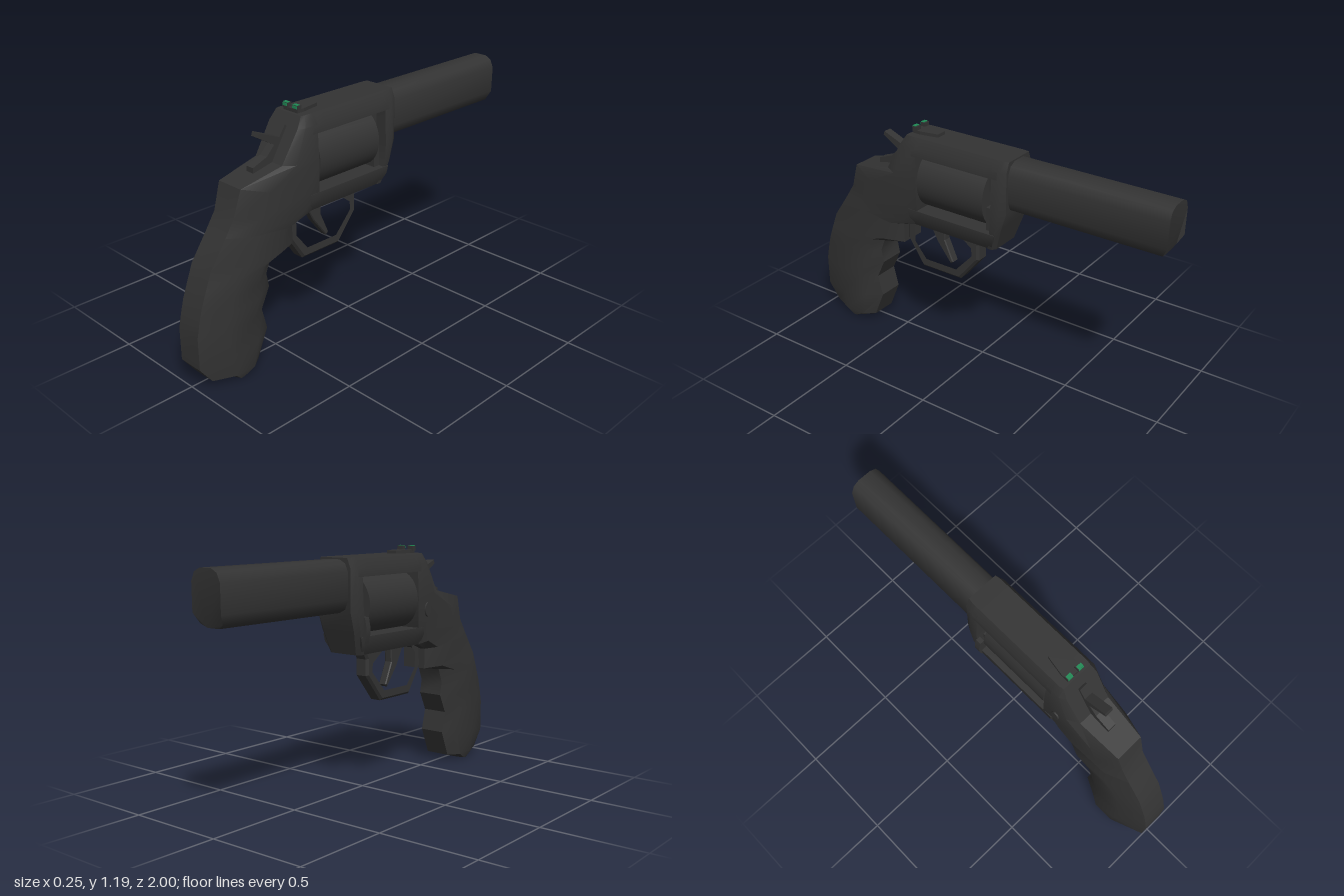
import * as THREE from 'three';
import { toCreasedNormals } from 'three/addons/utils/BufferGeometryUtils.js';

const gunmetal = new THREE.MeshStandardMaterial({ color: 0x333333 });
gunmetal.name = 'gunmetal';
const sightGreen = new THREE.MeshStandardMaterial({ color: 0x1f8a55 });
sightGreen.name = 'sight green';

// Loft of octagonal sections, listed from top to bottom.
// Each: [rear z, rear y, front z, front y, half width, rear edge ratio, front edge ratio]
function loft(sections, rearT = 0.15, frontT = 0.85) {
  const pos = [], index = [];
  for (const [rz, ry, fz, fy, w, re, fe] of sections) {
    const side = [[0, w * re], [rearT, w], [frontT, w], [1, w * fe]];
    const ring = [...side, ...side.slice().reverse().map(([t, x]) => [t, -x])];
    for (const [t, x] of ring) pos.push(x, ry + (fy - ry) * t, rz + (fz - rz) * t);
  }
  const last = (sections.length - 1) * 8;
  for (let s = 0; s < last; s += 8) {
    for (let j = 0; j < 8; j++) {
      const k = (j + 1) % 8;
      index.push(s + j, s + 8 + j, s + k, s + k, s + 8 + j, s + 8 + k);
    }
  }
  for (let j = 1; j < 7; j++) index.push(0, j, j + 1, last, last + j + 1, last + j);
  const g = new THREE.BufferGeometry();
  g.setAttribute('position', new THREE.Float32BufferAttribute(pos, 3));
  g.setIndex(index);
  return toCreasedNormals(g, 0.6);
}

const points = (list) => list.map(([a, b]) => new THREE.Vector2(a, b));

// Side profile in (z, y), given thickness across x
function plate(outline, width, bevel = 0, hole = null) {
  const shape = new THREE.Shape(points(outline));
  if (hole) shape.holes.push(new THREE.Path(points(hole)));
  const depth = width - 2 * bevel;
  const g = new THREE.ExtrudeGeometry(shape, {
    depth, bevelEnabled: bevel > 0, bevelSize: bevel, bevelThickness: bevel,
    bevelOffset: -bevel, bevelSegments: 1,
  });
  g.translate(0, 0, -depth / 2);
  g.rotateY(-Math.PI / 2);
  return g;
}

export function createModel() {
  const model = new THREE.Group();
  model.name = 'revolver';
  const add = (name, geometry, x = 0, y = 0, z = 0, material = gunmetal) => {
    const mesh = new THREE.Mesh(geometry, material);
    mesh.name = name;
    mesh.position.set(x + 0.005, y, z);
    model.add(mesh);
    return mesh;
  };
  const box = (name, w, h, d, x, y, z, material) =>
    add(name, new THREE.BoxGeometry(w, h, d), x, y, z, material);

  // Rear of the frame
  add('rearFrame', loft([
    [0.383, 1.15, 0.31, 1.15, 0.085, 0.95, 1],
    [0.415, 1.10, 0.31, 1.10, 0.11, 0.85, 1],
    [0.506, 0.953, 0.31, 0.93, 0.118, 0.75, 1],
    [0.73, 0.905, 0.31, 0.775, 0.117, 0.62, 1],
    [0.77, 0.777, 0.345, 0.686, 0.11, 0.6, 0.85],
    [0.82, 0.70, 0.437, 0.65, 0.11, 0.6, 0.6],
  ], 0.3, 0.85));

  // Grip with finger swells
  add('grip', loft([
    [0.82, 0.70, 0.437, 0.65, 0.11, 0.6, 0.6],
    [0.908, 0.573, 0.437, 0.546, 0.11, 0.6, 0.6],
    [0.94, 0.49, 0.57, 0.525, 0.11, 0.6, 0.6],
    [0.967, 0.418, 0.60, 0.45, 0.11, 0.6, 0.6],
    [0.985, 0.35, 0.587, 0.38, 0.11, 0.6, 0.6],
    [1.0, 0.28, 0.635, 0.279, 0.11, 0.6, 0.6],
    [1.0, 0.118, 0.608, 0.171, 0.11, 0.6, 0.6],
    [0.935, 0.032, 0.667, 0.032, 0.11, 0.6, 0.6],
    [0.82, 0.0, 0.77, 0.0, 0.1, 0.6, 0.6],
  ], 0.38, 0.78));

  // Front of the frame and the straps around the window
  add('frontFrame', loft([
    [-0.13, 1.15, -0.206, 1.15, 0.085, 1, 0.95],
    [-0.13, 1.10, -0.206, 1.10, 0.11, 1, 0.92],
    [-0.13, 0.895, -0.206, 0.895, 0.119, 1, 0.85],
    [-0.125, 0.80, -0.174, 0.80, 0.119, 1, 0.8],
    [-0.10, 0.686, -0.137, 0.686, 0.095, 1, 0.8],
  ], 0.1, 0.6));
  add('topStrap', loft([
    [0.34, 1.15, -0.16, 1.15, 0.085, 1, 1],
    [0.34, 1.10, -0.16, 1.10, 0.11, 1, 1],
    [0.34, 1.06, -0.16, 1.06, 0.112, 1, 1],
  ]));
  add('bottomStrap', loft([
    [0.36, 0.777, -0.15, 0.777, 0.118, 1, 1],
    [0.36, 0.74, -0.14, 0.74, 0.117, 1, 1],
    [0.36, 0.686, -0.12, 0.686, 0.09, 1, 1],
  ]));

  // Cylinder, with the crane and ejector in front of it
  const drum = new THREE.CylinderGeometry(1, 1, 0.385, 32);
  drum.rotateX(Math.PI / 2);
  drum.scale(0.118, 0.143, 1);
  add('cylinder', drum, 0, 0.92, 0.11);
  box('barrelLug', 0.12, 0.1, 0.04, 0, 1.015, -0.105);
  box('craneArm', 0.17, 0.12, 0.035, 0, 0.835, -0.102);
  const pin = new THREE.CylinderGeometry(0.018, 0.018, 0.08, 12);
  pin.rotateX(Math.PI / 2);
  add('ejectorPin', pin, 0, 0.93, -0.11);
  add('craneCover', loft([
    [-0.10, 0.87, -0.13, 0.87, 0.012, 1, 1],
    [-0.10, 0.82, -0.13, 0.82, 0.022, 1, 1],
    [-0.10, 0.78, -0.13, 0.78, 0.02, 1, 1],
    [-0.10, 0.735, -0.13, 0.735, 0.008, 1, 1],
  ]), -0.113, 0, 0);

  // Cylinder latch on one side
  const latch = new THREE.CylinderGeometry(0.022, 0.026, 0.025, 12);
  latch.rotateZ(Math.PI / 2);
  latch.scale(1, 1.6, 1);
  add('cylinderLatch', latch, -0.112, 0.865, 0.385);

  // Barrel, its lower muzzle edge cut back
  const half = [[0.035, 1.142], [0.068, 1.125], [0.086, 1.085], [0.086, 0.955], [0.068, 0.91], [0.035, 0.892]];
  const outline = [...half, ...half.slice().reverse().map(([x, y]) => [-x, y])];
  const barrel = new THREE.ExtrudeGeometry(new THREE.Shape(points(outline)), { depth: 0.85, bevelEnabled: false });
  barrel.translate(0, 0, -1);
  const p = barrel.attributes.position;
  for (let i = 0; i < p.count; i++) {
    if (p.getZ(i) < -0.9) p.setZ(i, -1 + Math.max(0, 0.957 - p.getY(i)) * 0.55);
  }
  barrel.computeVertexNormals();
  add('barrel', toCreasedNormals(barrel, 0.85));

  // Trigger guard and trigger
  add('triggerGuard', plate(
    [[0.43, 0.72], [0.437, 0.562], [0.345, 0.423], [0.11, 0.423], [-0.005, 0.562], [-0.005, 0.645], [-0.03, 0.695], [0.05, 0.72]],
    0.08, 0.012,
    [[0.36, 0.688], [0.40, 0.64], [0.40, 0.552], [0.325, 0.46], [0.126, 0.46], [0.022, 0.573], [0.026, 0.627], [0.11, 0.688]],
  ));
  add('trigger', plate(
    [[0.32, 0.70], [0.21, 0.70], [0.212, 0.605], [0.163, 0.495], [0.18, 0.482], [0.26, 0.585]], 0.045, 0.005));

  // Hammer with thumb spur
  add('hammer', plate(
    [[0.40, 1.09], [0.425, 1.108], [0.46, 1.058], [0.575, 1.105], [0.582, 1.085], [0.49, 1.03],
      [0.535, 0.985], [0.615, 0.955], [0.615, 0.92], [0.42, 0.92], [0.37, 1.08]], 0.044));

  // Rear sight: tapered base and two posts with green faces
  const base = new THREE.ExtrudeGeometry(new THREE.Shape(points(
    [[-0.045, -0.37], [0.045, -0.37], [0.045, -0.33], [0.028, -0.235], [-0.028, -0.235], [-0.045, -0.33]])),
  { depth: 0.02, bevelEnabled: false });
  base.rotateX(-Math.PI / 2);
  add('sightBase', base, 0, 1.146, 0);
  for (const s of [-1, 1]) {
    box('sightPost', 0.032, 0.025, 0.025, s * 0.032, 1.173, 0.36);
    box('sightMark', 0.028, 0.012, 0.004, s * 0.032, 1.177, 0.374, sightGreen);
    box('sightTop', 0.028, 0.003, 0.018, s * 0.032, 1.1865, 0.364, sightGreen);
  }
  return model;
}
